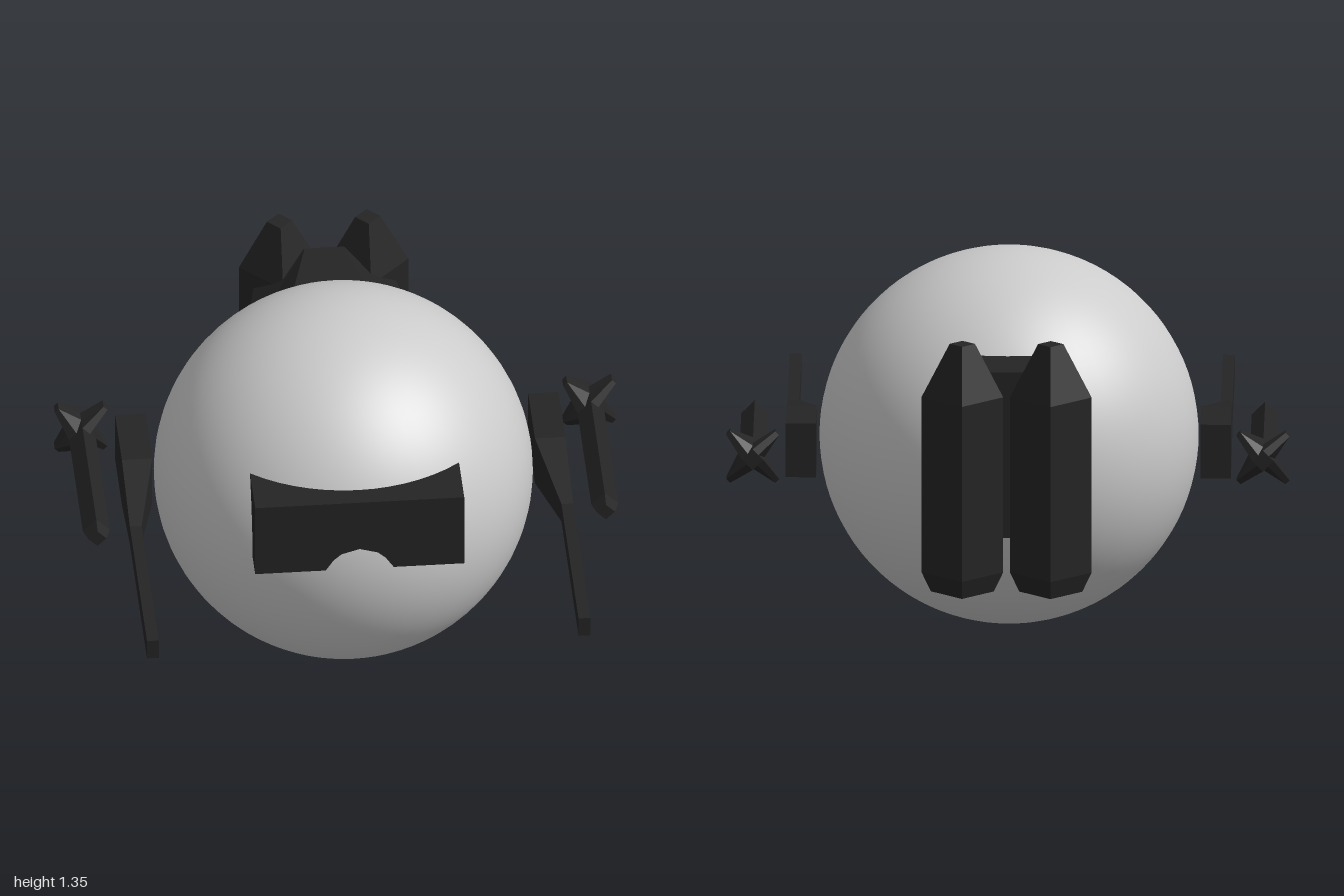
import * as THREE from 'three';

const grey = new THREE.MeshStandardMaterial({ color: 0xcccccc });
const dark = new THREE.MeshStandardMaterial({ color: 0x242424, flatShading: true });

// Skin a list of { z, pts } rings (counter-clockwise seen from +z, z rising) and cap both ends
function loft(rings) {
  const n = rings[0].pts.length, pos = [], idx = [];
  rings.forEach(({ z, pts }) => pts.forEach(([x, y]) => pos.push(x, y, z)));
  for (let r = 0; r < rings.length - 1; r++) {
    for (let i = 0; i < n; i++) {
      const a = r * n + i, b = r * n + (i + 1) % n;
      idx.push(a, b, b + n, a, b + n, a + n);
    }
  }
  const last = (rings.length - 1) * n;
  for (let i = 1; i < n - 1; i++) {
    idx.push(0, i + 1, i);
    idx.push(last, last + i, last + i + 1);
  }
  const g = new THREE.BufferGeometry();
  g.setAttribute('position', new THREE.Float32BufferAttribute(pos, 3));
  g.setIndex(idx);
  const flat = g.toNonIndexed();
  flat.computeVertexNormals();
  return flat;
}

const rect = (x0, x1, y0, y1) => [[x0, y0], [x1, y0], [x1, y1], [x0, y1]];

// Four-armed section: axis points at radius r, blunt diagonal tips at (t, t - b) and (t - b, t)
function star(r, t, b) {
  const pts = [];
  for (let q = 0; q < 4; q++) {
    const c = Math.round(Math.cos(q * Math.PI / 2)), s = Math.round(Math.sin(q * Math.PI / 2));
    for (const [x, y] of [[r, 0], [t, t - b], [t - b, t]]) pts.push([x * c - y * s, x * s + y * c]);
  }
  return pts;
}
const diamond = (r) => star(r, 0.55 * r, 0.1 * r);

function add(parent, name, geometry, material, x = 0, y = 0, z = 0) {
  const mesh = new THREE.Mesh(geometry, material);
  mesh.name = name;
  mesh.position.set(x, y, z);
  parent.add(mesh);
  return mesh;
}

export function createModel() {
  const model = new THREE.Group();
  model.name = 'sphericalCraft';

  // Round hull with a block visor sunk into its front
  add(model, 'hull', new THREE.SphereGeometry(0.673, 64, 48), grey, 0, 0.675, -0.04);
  add(model, 'visor', new THREE.BoxGeometry(0.745, 0.29, 0.32), dark, 0, 0.865, 0.46);

  // Backpack block with chamfered shoulders, narrowing to the rear
  const pack = (w, top) => [[-w, 0.485], [w, 0.485], [w, 0.945], [top, 1.09], [-top, 1.09], [-w, 0.945]];
  add(model, 'backpack', loft([
    { z: -0.81, pts: pack(0.25, 0.07) },
    { z: -0.45, pts: pack(0.317, 0.16) },
  ]), dark);

  // Four-sided booster profile, bottom to top
  const boosterProfile = [[0, 0.295], [0.112, 0.295], [0.145, 0.365], [0.145, 1.005], [0.045, 1.2], [0, 1.2]]
    .map(([r, y]) => new THREE.Vector2(r, y));

  for (const [side, s] of [['left', 1], ['right', -1]]) {
    add(model, side + 'Booster', new THREE.LatheGeometry(boosterProfile, 4), dark, s * 0.157, 0, -0.833);

    // Side cannon: thick rear block tapering into a long square barrel
    const section = (inner, half) =>
      rect(Math.min(s * inner, s * 0.79), Math.max(s * inner, s * 0.79), 0.677 - half, 0.677 + half);
    add(model, side + 'Cannon', loft([
      { z: -0.3, pts: section(0.682, 0.098) },
      { z: -0.03, pts: section(0.682, 0.098) },
      { z: 0.29, pts: section(0.748, 0.038) },
      { z: 0.98, pts: section(0.748, 0.038) },
    ]), dark);

    // Missile: diamond body flaring into four tail fins
    add(model, side + 'Missile', loft([
      { z: -0.44, pts: diamond(0.038) },
      { z: -0.4, pts: star(0.042, 0.094, 0.014) },
      { z: -0.36, pts: star(0.042, 0.094, 0.014) },
      { z: -0.3, pts: diamond(0.048) },
      { z: 0.25, pts: diamond(0.048) },
      { z: 0.3, pts: diamond(0.032) },
    ]), dark, s * 0.906, 0.677, 0);
  }
  return model;
}
